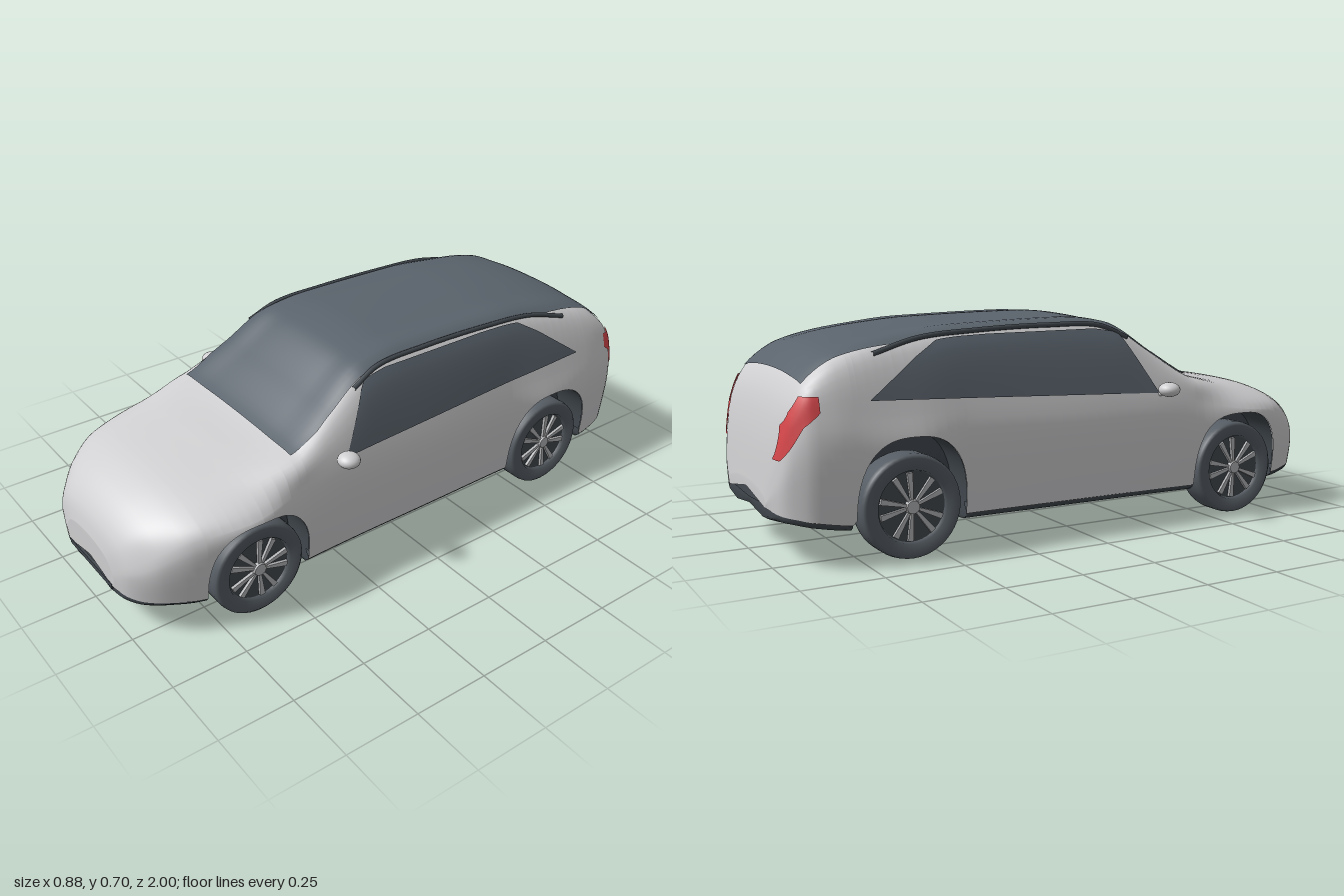
import * as THREE from 'three';

const mat = (name, color) =>
  new THREE.MeshStandardMaterial({ name, color, side: THREE.DoubleSide });
const paint = mat('silver paint', 0xcfcfd1);
const glass = mat('dark glass', 0x5a636c);
const dark = mat('underbody black', 0x41484e);
const rubber = mat('tyre grey', 0x555c63);
const alloy = mat('alloy grey', 0xb4b5b7);
const red = mat('lamp red', 0xd9484c);

// Body stations: z, top y, shoulder drop, shoulder x, belt y, belt x, widest x, base y
const keys = [
  [1.0, .25, .02, .12, .20, .15, .16, .12],
  [.985, .30, .025, .17, .23, .215, .22, .115],
  [.95, .35, .03, .21, .26, .265, .275, .11],
  [.9, .39, .035, .25, .30, .31, .32, .11],
  [.8, .43, .035, .29, .35, .36, .37, .105],
  [.62, .463, .03, .31, .37, .402, .405, .10],
  [.45, .49, .015, .34, .40, .38, .392, .10],
  [.3, .58, .02, .31, .43, .375, .387, .10],
  [.14, .68, .03, .29, .44, .37, .385, .10],
  [0, .70, .035, .285, .44, .37, .385, .10],
  [-.4, .692, .035, .29, .45, .365, .382, .10],
  [-.6, .675, .04, .295, .44, .375, .405, .10],
  [-.8, .635, .04, .31, .44, .375, .39, .11],
  [-.9, .57, .035, .315, .44, .36, .372, .125],
  [-.95, .49, .03, .295, .39, .33, .337, .135],
  [-.98, .375, .03, .25, .30, .285, .295, .14],
  [-1.0, .22, .02, .17, .185, .195, .2, .15],
];
const arches = [{ z: .61, top: .357 }, { z: -.605, top: .375 }];
const ARCH = .178;

// Smooth, overshoot-free interpolation of the stations
const rate = (i, c) => (keys[i + 1][c] - keys[i][c]) / (keys[i + 1][0] - keys[i][0]);
function slope(i, c) {
  if (i === 0) return rate(0, c);
  if (i === keys.length - 1) return rate(i - 1, c);
  const a = rate(i - 1, c), b = rate(i, c);
  return a * b <= 0 ? 0 : 2 * a * b / (a + b);
}
function station(z) {
  z = THREE.MathUtils.clamp(z, -1, 1);
  let i = 0;
  while (i < keys.length - 2 && z < keys[i + 1][0]) i++;
  const h = keys[i + 1][0] - keys[i][0], t = (z - keys[i][0]) / h, s = 1 - t;
  const v = [1, 2, 3, 4, 5, 6, 7].map(c =>
    keys[i][c] * (1 + 2 * t) * s * s + slope(i, c) * h * t * s * s +
    keys[i + 1][c] * t * t * (3 - 2 * t) - slope(i + 1, c) * h * t * t * s);
  const [top, drop, sx, by, bx, w, base] = v;
  return { top, drop, sx, by, bx, w, base };
}
function section(z) {
  const s = station(z), y0 = s.base + .018;
  const half = [[.95 * s.w, y0], [s.w, y0 + .6 * (s.by - y0)], [s.bx, s.by],
    [s.sx, s.top - s.drop], [.55 * s.sx, s.top - .22 * s.drop]];
  const pts = [...half, [0, s.top], ...half.slice().reverse().map(([x, y]) => [-x, y])];
  return new THREE.SplineCurve(pts.map(p => new THREE.Vector2(...p)));
}
// Curve parameter on the left half where the section reaches a given y (or x)
function findU(curve, axis, value) {
  let lo = axis === 'y' ? 0 : .2, hi = .5;
  for (let i = 0; i < 24; i++) {
    const m = (lo + hi) / 2, p = curve.getPoint(m);
    if (axis === 'y' ? p.y < value : p.x > value) lo = m; else hi = m;
  }
  return lo;
}
const on = (z, u) => {
  const p = section(z).getPoint(u);
  return new THREE.Vector3(p.x, p.y, z);
};
// Point lifted slightly off the body skin, for plates
function lifted(z, u, side = 1) {
  const p = on(z, u);
  const du = on(z, u + .004).sub(on(z, u - .004)), dz = on(z + .004, u).sub(on(z - .004, u));
  const n = du.cross(dz).normalize();
  if (n.x * p.x + n.y * (p.y - .3) < 0) n.negate();
  p.addScaledVector(n, .004);
  p.x *= side;
  return p;
}
function archY(z) {
  for (const a of arches) {
    const d = Math.abs(z - a.z) / ARCH;
    if (d < 1) return .14 + (a.top - .14) * Math.pow(1 - Math.pow(d, 2.6), 1 / 2.6);
  }
  return 0;
}
// Surface through rows of points
function sheet(name, rows, material) {
  const n = rows[0].length, index = [];
  for (let i = 0; i < rows.length - 1; i++)
    for (let j = 0; j < n - 1; j++) {
      const a = i * n + j, b = a + n;
      index.push(a, a + 1, b, b, a + 1, b + 1);
    }
  const g = new THREE.BufferGeometry().setFromPoints(rows.flat());
  g.setIndex(index);
  g.computeVertexNormals();
  const m = new THREE.Mesh(g, material);
  m.name = name;
  return m;
}
const range = (n, a, b) => Array.from({ length: n + 1 }, (_, i) => a + (b - a) * i / n);
function add(parent, name, geometry, material, x = 0, y = 0, z = 0) {
  const m = new THREE.Mesh(geometry, material);
  m.name = name;
  m.position.set(x, y, z);
  parent.add(m);
  return m;
}
function piecewise(points, z) {
  for (let i = 0; i < points.length - 1; i++) {
    const [a, ya] = points[i], [b, yb] = points[i + 1];
    if (z >= b) return ya + (yb - ya) * (z - a) / (b - a);
  }
  return points[points.length - 1][1];
}

function makeWheel() {
  const wheel = new THREE.Group();
  const profile = [[.105, -.05], [.148, -.052], [.157, -.045], [.16, -.03], [.16, .03],
    [.157, .045], [.148, .052], [.112, .05], [.107, .03]].map(p => new THREE.Vector2(...p));
  add(wheel, 'tyre', new THREE.LatheGeometry(profile, 48), rubber);
  add(wheel, 'wheelBacking', new THREE.CylinderGeometry(.108, .108, .07, 40), dark);
  add(wheel, 'hub', new THREE.CylinderGeometry(.02, .024, .014, 20), alloy, 0, .044, 0);
  // Ten tapering spokes in pairs
  const blade = new THREE.Shape([[.015, -.004], [.104, -.009], [.104, .009], [.015, .004]]
    .map(p => new THREE.Vector2(...p)));
  const spokeGeo = new THREE.ExtrudeGeometry(blade, { depth: .01, bevelEnabled: false });
  spokeGeo.rotateX(-Math.PI / 2);
  for (let i = 0; i < 10; i++) {
    const s = add(wheel, 'spoke', spokeGeo, alloy, 0, .035, 0);
    s.rotation.y = i * Math.PI / 5 + (i % 2 ? -.07 : .07);
  }
  return wheel;
}

export function createModel() {
  const car = new THREE.Group();
  car.name = 'car';

  // Stations along the car, denser at the ends and round the arches
  let zs = range(72, 0, Math.PI).map(Math.cos);
  for (const a of arches) zs.push(...range(28, 0, Math.PI).map(t => a.z + ARCH * Math.cos(t)));
  zs = zs.sort((a, b) => b - a).filter((z, i, all) => !i || all[i - 1] - z > .0004);

  // Painted shell with the wheel arches cut from its lower edge
  const shell = zs.map(z => {
    const c = section(z), u0 = findU(c, 'y', archY(z));
    const low = range(8, u0, .2);
    const us = [...low, ...range(36, .2, .8).slice(1, -1), ...low.map(u => 1 - u).reverse()];
    return us.map(u => { const p = c.getPoint(u); return new THREE.Vector3(p.x, p.y, z); });
  });
  const cap = row => row.map(p => new THREE.Vector3(0, station(p.z).base + .05, p.z));
  car.add(sheet('bodyShell', [cap(shell[0]), ...shell, cap(shell[shell.length - 1])], paint));

  // Underbody, narrowed between the wheels
  const under = zs.filter(z => Math.abs(z) < .996).map(z => {
    const s = station(z), well = archY(z) > 0;
    const x = well ? .262 : .94 * s.w;
    const half = [[x, well ? .37 : s.base + .03], [x, s.base + .012], [x * .96, s.base],
      [Math.min(.19, x * .6), s.base - .015]];
    return [...half, [0, s.base], ...half.slice().reverse().map(([a, b]) => [-a, b])]
      .map(([a, b]) => new THREE.Vector3(a, b, z));
  });
  const close = row => row.map(p => new THREE.Vector3(0, station(p.z).base + .02, p.z));
  car.add(sheet('underbody', [close(under[0]), ...under, close(under[under.length - 1])], dark));

  // Windscreen, roof and rear glass in one strip
  car.add(sheet('roofGlass', range(70, .45, -.91).map(z => {
    const half = Math.min(z > 0 ? .315 : .29, station(z).sx - .006);
    const u = findU(section(z), 'x', half);
    return range(24, u, 1 - u).map(v => lifted(z, v));
  }), glass));

  const sillLine = [[.28, .443], [-.73, .485]];
  const headLine = [[.28, .445], [.17, .635], [.115, .657], [-.475, .655], [-.57, .60], [-.73, .487]];
  const lampRows = [[.505, -.88, -.925], [.46, -.88, -.95], [.42, -.925, -.965], [.32, -.977, -.984]];

  for (const side of [1, -1]) {
    const label = side > 0 ? 'left' : 'right';
    // Side window band
    car.add(sheet(label + 'SideWindow', range(60, .28, -.73).map(z => {
      const s = station(z), c = section(z), lo = piecewise(sillLine, z);
      const hi = Math.max(lo, Math.min(piecewise(headLine, z), s.top - s.drop - .004));
      return range(10, lo, hi).map(y => lifted(z, findU(c, 'y', y), side));
    }), glass));

    // Tail lamp, tapering down round the corner
    const lamp = range(18, 0, 3).map(t => {
      const i = Math.min(2, Math.floor(t)), f = t - i;
      const [y, a, b] = lampRows[i].map((v, k) => v + (lampRows[i + 1][k] - v) * f);
      return range(8, a, b).map(z => lifted(z, findU(section(z), 'y', y), side));
    });
    car.add(sheet(label + 'TailLamp', lamp, red));

    // Roof rail
    const rail = new THREE.CatmullRomCurve3([[.308, .615, -.7], [.293, .655, -.55], [.287, .67, -.35],
      [.284, .676, -.1], [.286, .668, .1], [.298, .625, .2]]
      .map(([x, y, z]) => new THREE.Vector3(x * side, y, z)));
    add(car, label + 'RoofRail', new THREE.TubeGeometry(rail, 40, .008, 8), dark);

    // Door mirror on a short arm
    const mirror = add(car, label + 'Mirror', new THREE.SphereGeometry(1, 24, 16), paint, .405 * side, .457, .298);
    mirror.scale.set(.037, .024, .036);
    const arm = new THREE.LineCurve3(new THREE.Vector3(.355 * side, .428, .28), new THREE.Vector3(.39 * side, .453, .295));
    add(car, label + 'MirrorArm', new THREE.TubeGeometry(arm, 1, .008, 8), paint);

    arches.forEach((a, i) => {
      const place = label + (i ? 'Rear' : 'Front');
      // Wheel well liner
      car.add(sheet(place + 'WheelWell', range(28, .02, Math.PI - .02).map(t => {
        const z = a.z + ARCH * Math.cos(t), y = archY(z);
        const x = on(z, findU(section(z), 'y', y)).x - .002;
        return [new THREE.Vector3(.26 * side, y, z), new THREE.Vector3(x * side, y, z)];
      }), dark));
      const wheel = makeWheel();
      wheel.name = place + 'Wheel';
      wheel.position.set(.322 * side, .16, a.z);
      wheel.rotation.z = -side * Math.PI / 2;
      car.add(wheel);
    });
  }

  // Lower front grille slot
  add(car, 'lowerGrille', new THREE.BoxGeometry(.29, .018, .009), dark, 0, .137, .997);
  return car;
}
